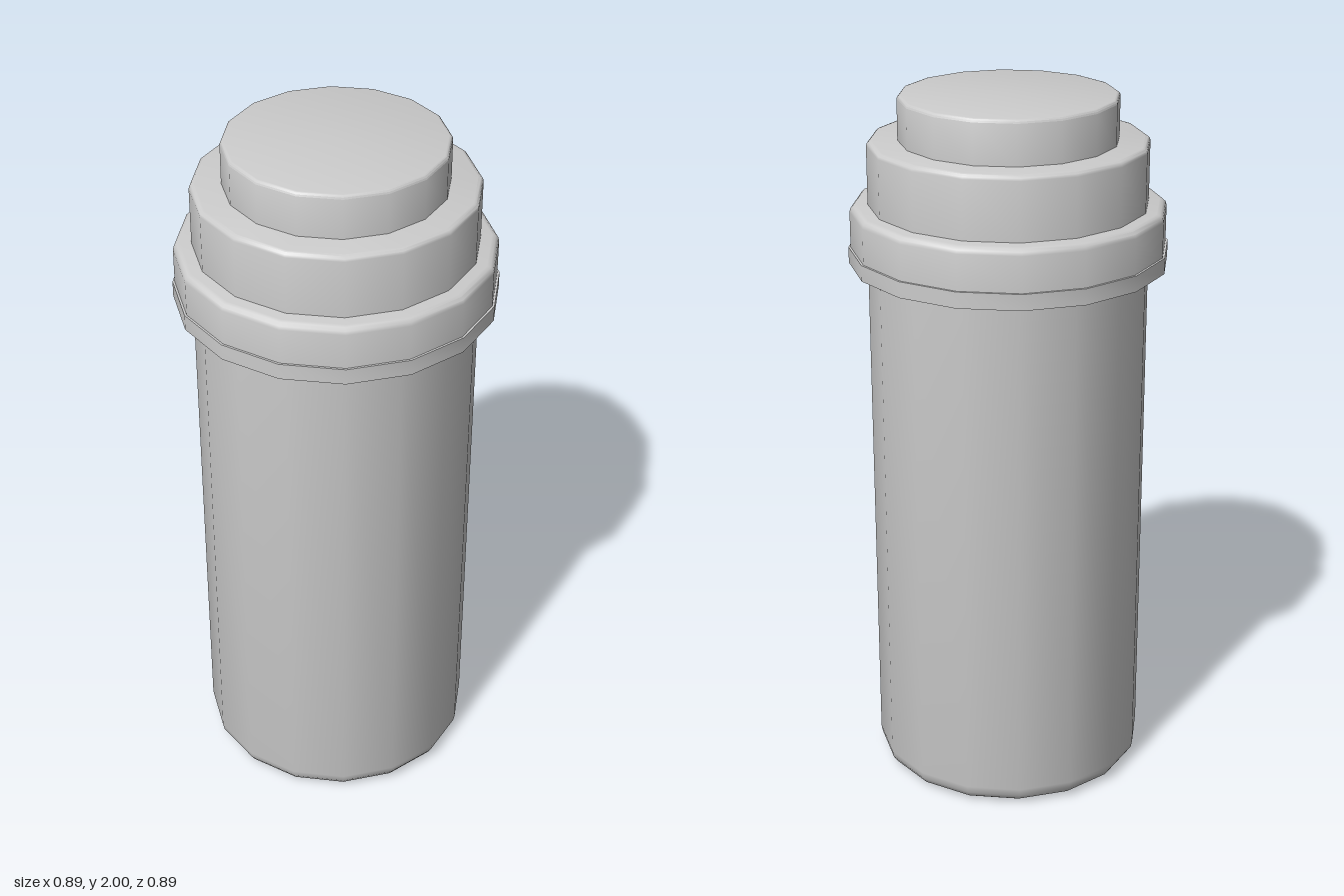
import * as THREE from 'three';
import { toCreasedNormals } from 'three/addons/utils/BufferGeometryUtils.js';

const SIDES = 16;

// Rounded corner points from an angle to another, around (cx, cy)
function corner(cx, cy, r, from, to, steps) {
  const points = [];
  for (let i = 0; i <= steps; i++) {
    const a = from + ((to - from) * i) / steps;
    points.push([cx + r * Math.cos(a), cy + r * Math.sin(a)]);
  }
  return points;
}

// Closed 16-sided drum with optional rounding of its lower and upper rim
function drum(name, radius, bottom, top, lowerRound, upperRound) {
  const lower = lowerRound
    ? corner(radius - lowerRound, bottom + lowerRound, lowerRound, -Math.PI / 2, 0, 4)
    : [[radius, bottom]];
  const upper = upperRound
    ? corner(radius - upperRound, top - upperRound, upperRound, 0, Math.PI / 2, 3)
    : [[radius, top]];
  const profile = [[0, bottom], ...lower, ...upper, [0, top]].map(
    ([x, y]) => new THREE.Vector2(x, y)
  );
  const geometry = toCreasedNormals(new THREE.LatheGeometry(profile, SIDES), 0.7);
  const mesh = new THREE.Mesh(geometry, new THREE.MeshStandardMaterial({ color: 0xcccccc }));
  mesh.name = name;
  return mesh;
}

export function createModel() {
  const model = new THREE.Group();
  model.name = 'canister';
  model.add(
    // Tall body with a rounded foot
    drum('body', 0.39, 0, 1.56, 0.055, 0),
    // Thin sharp-edged flange under the lid
    drum('flange', 0.443, 1.535, 1.58, 0, 0),
    // Stepped lid
    drum('lidCollar', 0.437, 1.57, 1.7, 0, 0.02),
    drum('lidShoulder', 0.387, 1.69, 1.877, 0, 0.014),
    drum('lidButton', 0.302, 1.865, 2, 0, 0.01)
  );
  return model;
}
